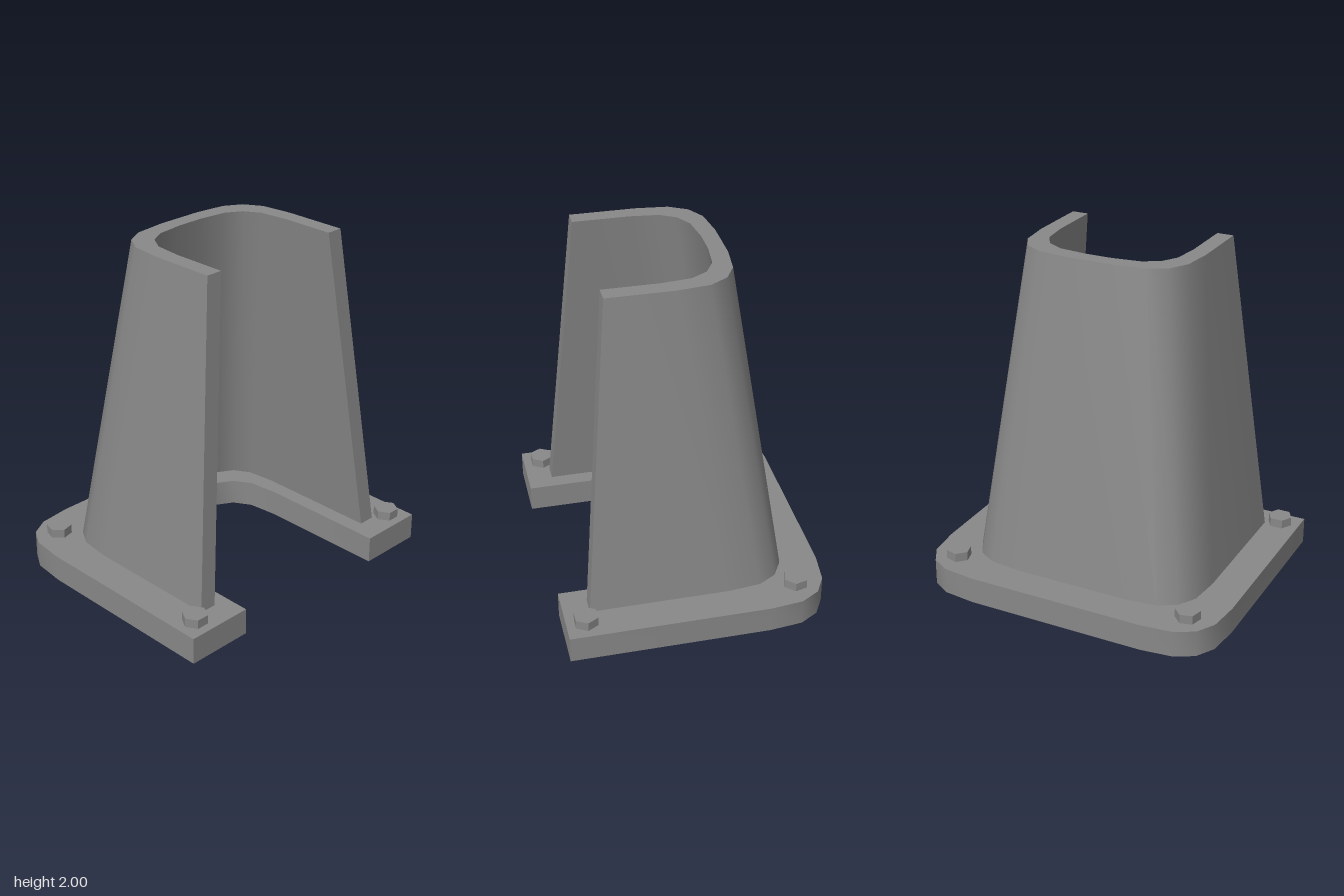
import * as THREE from 'three';
import { toCreasedNormals } from 'three/addons/utils/BufferGeometryUtils.js';

const material = new THREE.MeshStandardMaterial({ color: 0x888888, side: THREE.DoubleSide });

// Rounded corner as fractions of its size: [distance from back, distance from side]
const CORNER = [[1, 0], [0.5, 0.055], [0.22, 0.22], [0.06, 0.5], [0, 1]];

// Half of a U path (z > 0), from the open end at +x to the back at -x
function halfPath({ back, side, corner }, end) {
  return [[end, side], ...CORNER.map(([u, v]) => [back + u * corner, side - v * corner])];
}

// Closed U-shaped loop between an outer and an inner path
function uLoop(end, outer, inner) {
  const flip = (path) => path.map(([x, z]) => [x, -z]);
  const o = halfPath(outer, end), i = halfPath(inner, end);
  return [...o, ...flip(o).reverse(), ...flip(i), ...i.reverse()];
}

// Hexagon loop with one corner turned from +z
function hexLoop(x, z, turn) {
  return Array.from({ length: 6 }, (_, k) => {
    const a = Math.PI / 2 - turn + k * Math.PI / 3;
    return [x + 0.072 * Math.cos(a), z + 0.072 * Math.sin(a)];
  });
}

// Walls between two matching loops, with a top (which may have holes), open below
function hollowBody(name, bottom, y0, top, y1, holes = []) {
  const pos = [];
  const n = bottom.length;
  const lo = (k) => [bottom[k % n][0], y0, bottom[k % n][1]];
  const hi = (k) => [top[k % n][0], y1, top[k % n][1]];
  for (let k = 0; k < n; k++) {
    pos.push(...lo(k), ...hi(k + 1), ...lo(k + 1), ...lo(k), ...hi(k), ...hi(k + 1));
  }
  const toVectors = (loop) => loop.map(([x, z]) => new THREE.Vector2(x, z));
  const points = [...top, ...holes.flat()];
  for (const [a, b, c] of THREE.ShapeUtils.triangulateShape(toVectors(top), holes.map(toVectors))) {
    for (const k of [a, c, b]) pos.push(points[k][0], y1, points[k][1]);
  }
  const geometry = new THREE.BufferGeometry();
  geometry.setAttribute('position', new THREE.Float32BufferAttribute(pos, 3));
  const mesh = new THREE.Mesh(toCreasedNormals(geometry, 0.7), material);
  mesh.name = name;
  return mesh;
}

export function createModel() {
  const model = new THREE.Group();
  model.name = 'flangedHousing';
  const plateTop = 0.157;

  // Hexagonal bolt heads, mirrored front to back
  const bolts = [1, -1].flatMap((s) => [
    hexLoop(-0.575, s * 0.733, s * Math.PI / 12),
    hexLoop(0.648, s * 0.797, 0),
  ]);
  for (const bolt of bolts) model.add(hollowBody('boltHead', bolt, plateTop, bolt, 0.21));

  // Tapered U-shaped wall, hollow between its skins
  const foot = uLoop(0.612,
    { back: -0.562, side: 0.714, corner: 0.37 },
    { back: -0.465, side: 0.614, corner: 0.34 });
  const rim = uLoop(0.452,
    { back: -0.295, side: 0.506, corner: 0.37 },
    { back: -0.2, side: 0.409, corner: 0.33 });
  model.add(hollowBody('taperedWall', foot, plateTop, rim, 2));

  // Base flange, open underneath and below the wall and bolts
  const flange = uLoop(0.76,
    { back: -0.76, side: 0.915, corner: 0.38 },
    { back: -0.37, side: 0.52, corner: 0.36 });
  model.add(hollowBody('baseFlange', flange, 0, flange, plateTop, [foot, ...bolts]));
  return model;
}
